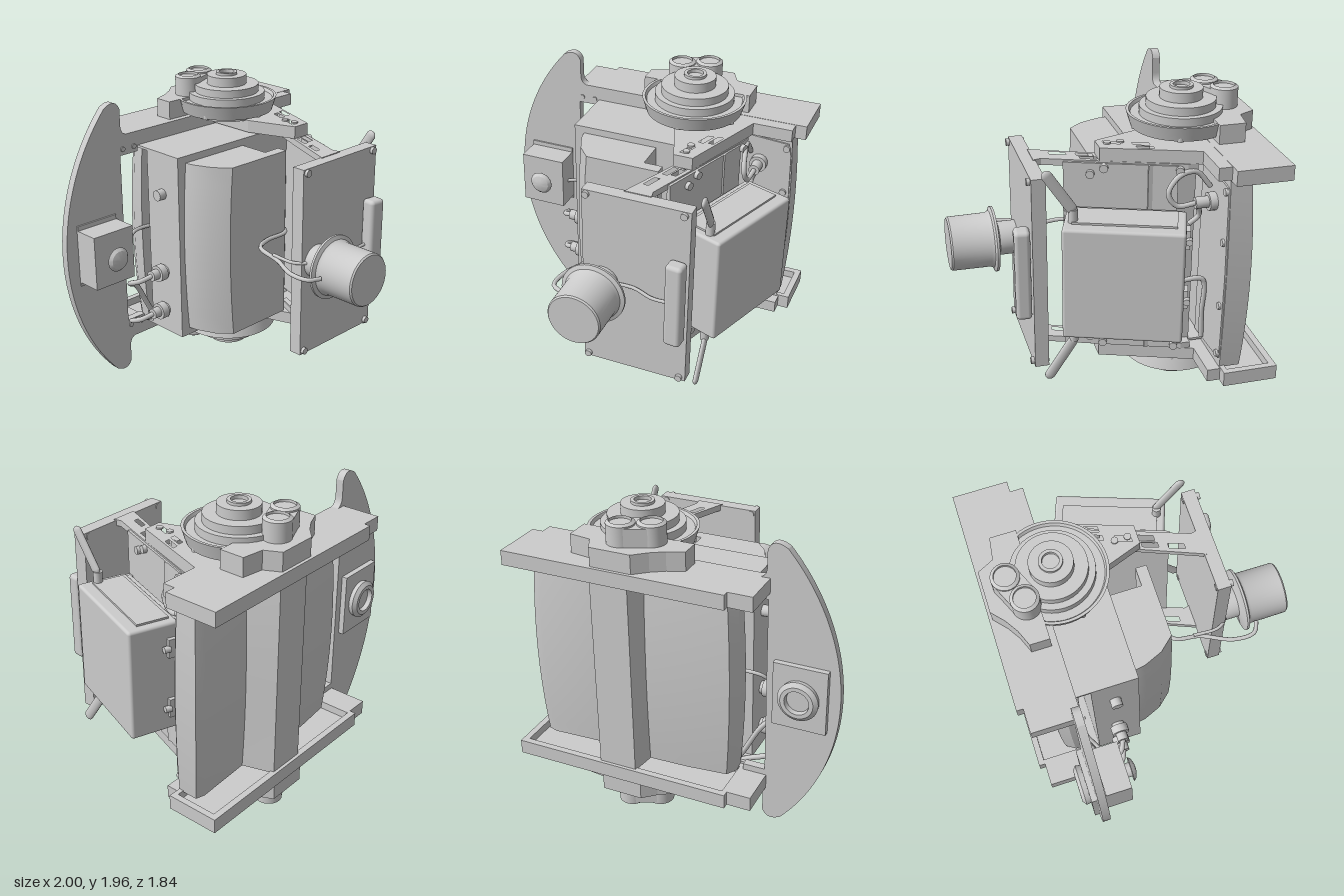
import * as THREE from 'three';
import { toCreasedNormals } from 'three/addons/utils/BufferGeometryUtils.js';
import { RoundedBoxGeometry } from 'three/addons/geometries/RoundedBoxGeometry.js';

const MID = 0.985; // height of the mirror plane

export function createModel() {
  const root = new THREE.Group();
  root.name = 'pivotingSensorHead';
  const mat = new THREE.MeshStandardMaterial({ color: 0xcccccc });

  const mesh = (name, geo, x = 0, y = 0, z = 0, parent = root) => {
    const m = new THREE.Mesh(geo, mat);
    m.name = name;
    m.position.set(x, y, z);
    parent.add(m);
    return m;
  };
  // box from its limits
  const box = (name, x0, x1, y0, y1, z0, z1, parent) =>
    mesh(name, new THREE.BoxGeometry(x1 - x0, y1 - y0, z1 - z0), (x0 + x1) / 2, (y0 + y1) / 2, (z0 + z1) / 2, parent);
  const rbox = (name, w, h, d, r, x, y, z, parent) => mesh(name, new RoundedBoxGeometry(w, h, d, 3, r), x, y, z, parent);
  // turned profile of [radius, height] points along an axis
  const turn = (name, pts, axis, x, y, z, parent, seg = 40) => {
    let g = new THREE.LatheGeometry(pts.map(p => new THREE.Vector2(...p)), seg);
    if (axis === 'z') g.rotateX(Math.PI / 2);
    if (axis === 'x') g.rotateZ(-Math.PI / 2);
    return mesh(name, toCreasedNormals(g, 0.5), x, y, z, parent);
  };
  const cyl = (name, r, h, axis, x, y, z, parent, seg = 24) =>
    turn(name, [[0, 0], [r, 0], [r, h], [0, h]], axis, x, y, z, parent, seg);
  // horizontal slab from an outline of [x, z] points
  const path = pts => pts.map(p => new THREE.Vector2(...p));
  const slabGeo = (pts, y0, y1, holes = [], steps = 1) => {
    const s = new THREE.Shape(path(pts));
    holes.forEach(h => s.holes.push(new THREE.Path(path(h))));
    const g = new THREE.ExtrudeGeometry(s, { depth: y1 - y0, bevelEnabled: false, steps });
    return g.rotateX(Math.PI / 2).translate(0, y1, 0);
  };
  const slab = (name, ...a) => mesh(name, slabGeo(...a));
  const tube = (name, r, ...pts) => mesh(name, new THREE.TubeGeometry(
    new THREE.CatmullRomCurve3(pts.map(p => new THREE.Vector3(...p))), 48, r, 8));
  // add a copy reflected in the plane y = MID
  const both = m => {
    m.updateMatrix();
    const g = m.geometry.index ? m.geometry.toNonIndexed() : m.geometry.clone();
    g.applyMatrix4(m.matrix).applyMatrix4(new THREE.Matrix4().makeScale(1, -1, 1)).translate(0, 2 * MID, 0);
    for (const a of Object.values(g.attributes)) {
      const n = a.itemSize, t = a.array;
      for (let i = 0; i < t.length; i += 3 * n)
        for (let k = 0; k < n; k++) [t[i + k], t[i + 2 * n + k]] = [t[i + 2 * n + k], t[i + k]];
    }
    mesh(m.name + 'Lower', g);
  };

  // yoke rails: a plate with a rim facing inwards
  const rail = [[-0.56, -0.58], [-0.56, -0.88], [-0.41, -0.88], [-0.41, -0.92], [1, -0.92], [1, -0.58]];
  both(slab('railPlate', rail, 1.65, 1.692));
  both(slab('railRim', rail, 1.6, 1.65, [[[-0.38, -0.61], [-0.38, -0.88], [0.96, -0.88], [0.96, -0.61]]]));

  // rear housing: bulging panels either side of a straight raised rib
  const drum = slabGeo([[-0.4, -0.58], [-0.4, -0.66], [-0.36, -0.73], [-0.1, -0.76], [0.16, -0.77], [0.19, -0.9],
    [0.43, -0.9], [0.5, -0.73], [0.88, -0.75], [0.94, -0.73], [0.94, -0.58]], 0.36, 1.61, [], 14);
  const p = drum.attributes.position;
  for (let i = 0; i < p.count; i++) {
    if (p.getZ(i) < -0.8) continue;
    const t = (p.getY(i) - MID) / 0.62;
    p.setX(i, 0.31 + (p.getX(i) - 0.31) * (1 - 0.04 * t * t));
    p.setZ(i, -0.58 + (p.getZ(i) + 0.58) * (1 - 0.15 * t * t));
  }
  drum.computeVertexNormals();
  mesh('rearHousing', toCreasedNormals(drum, 0.4));

  // thin side flange with tapered ends
  const flange = new THREE.Shape(path([[0.5, 0.39], [0.9, 0.42], [0.92, 0.5], [0.935, 0.985], [0.92, 1.47], [0.9, 1.55], [0.5, 1.58]]));
  mesh('sideFlange', new THREE.ExtrudeGeometry(flange, { depth: 0.02, bevelEnabled: false }), 0, 0, -0.59);
  for (const y of [0.45, 0.78, 1.2, 1.52]) cyl('flangeScrew', 0.022, 0.02, 'z', 0.89, y, -0.575);

  // main body, its lips over the rails, and the curved housing in front of it
  box('mainBody', -0.41, 0.6, 0.37, 1.6, -0.49, -0.2);
  both(box('bodyLip', -0.41, 0.6, 1.585, 1.6, -0.58, -0.49));
  const hood = slabGeo([[-0.37, -0.2], [-0.36, -0.14], [-0.31, -0.02], [-0.23, 0.07], [0.27, 0.07], [0.27, 0],
    [0.15, 0], [0.15, -0.2]], 0.42, 1.555, [], 10);
  const hp = hood.attributes.position;
  for (let i = 0; i < hp.count; i++) {
    const t = (hp.getY(i) - MID) / 0.57;
    if (hp.getX(i) < -0.2) hp.setX(i, hp.getX(i) + 0.025 * t * t);
  }
  hood.computeVertexNormals();
  mesh('curvedHood', toCreasedNormals(hood, 0.6));

  // pivot bearings
  const cone = new THREE.LatheGeometry(path([[0, 0], [0.3, 0], [0.328, 0.09], [0.31, 0.09], [0.3, 0.07], [0, 0.07]]), 72);
  const cp = cone.attributes.position;
  for (let i = 0; i < cp.count; i++) cp.setZ(i, Math.max(cp.getZ(i), -0.13));
  cone.computeVertexNormals();
  both(mesh('bearingDish', toCreasedNormals(cone, 0.4), 0.29, 1.72, -0.49));
  both(turn('bearingHub', [[0, 0], [0.25, 0], [0.25, 0.085], [0.21, 0.085], [0.21, 0.135], [0.13, 0.135],
    [0.13, 0.195], [0.07, 0.195], [0.07, 0.212], [0.05, 0.212], [0.05, 0.19], [0, 0.19]], 'y', 0.29, 1.755, -0.49));
  both(slab('bearingBlock', [[-0.1, -0.62], [-0.1, -0.74], [0, -0.78], [0.08, -0.83], [0.16, -0.9], [0.42, -0.9],
    [0.47, -0.8], [0.61, -0.78], [0.61, -0.62]], 1.69, 1.81));
  both(cyl('bearingSpacer', 0.22, 0.04, 'y', 0.29, 1.685, -0.49));
  for (const [x, z] of [[0.13, -0.69], [0.29, -0.76]])
    both(turn('clampKnob', [[0, 0], [0.085, 0], [0.085, 0.13], [0.065, 0.142], [0.065, 0.125], [0, 0.125]], 'y', x, 1.8, z));
  const link = mesh('knobLink', new THREE.BoxGeometry(0.175, 0.12, 0.165), 0.21, 1.86, -0.725);
  link.rotation.y = 0.412;
  both(link);
  for (const [x, z] of [[0.02, -0.4], [0.56, -0.4], [0.29, -0.21]]) both(cyl('dishScrew', 0.022, 0.03, 'y', x, 1.715, z));

  // crescent plate
  const c = new THREE.Shape();
  c.absarc(0.36, MID, 1.36, Math.PI - 0.723, Math.PI + 0.723);
  c.quadraticCurveTo(-0.57, 0.03, -0.54, 0.11);
  c.lineTo(-0.54, 0.21);
  c.quadraticCurveTo(-0.54, 0.28, -0.48, 0.28);
  for (const q of [[-0.41, 0.28], [-0.41, 0.41], [-0.55, 0.41], [-0.55, 1.56], [-0.41, 1.56], [-0.41, 1.69], [-0.48, 1.69]]) c.lineTo(...q);
  c.quadraticCurveTo(-0.54, 1.69, -0.54, 1.76);
  c.lineTo(-0.54, 1.86);
  c.quadraticCurveTo(-0.57, 1.94, -0.66, 1.885);
  mesh('crescentPlate', new THREE.ExtrudeGeometry(c, { depth: 0.05, bevelEnabled: false, curveSegments: 40 }), 0, 0, -0.63);
  for (const x of [-0.53, -0.44]) both(cyl('plateRivet', 0.016, 0.01, 'z', x, 1.6, -0.582));

  // sensor on the crescent plate
  box('sensorBox', -0.915, -0.615, 0.81, 1.16, -0.58, -0.41);
  box('sensorBackPlate', -0.93, -0.6, 0.78, 1.19, -0.665, -0.63);
  box('sensorFrontPlate', -0.915, -0.615, 0.785, 1.19, -0.6, -0.57);
  turn('sensorButton', [[0, 0], [0.045, 0], [0.045, 0.04], [0.078, 0.04], [0.06, 0.06], [0.03, 0.07], [0, 0.073]], 'z', -0.765, 0.985, -0.415);
  const ring = turn('sensorRing', [[0, 0], [0.12, 0], [0.125, 0.03], [0.1, 0.05], [0.075, 0.05], [0.07, 0.02], [0, 0.02]], 'z', -0.765, 0.985, -0.665);
  ring.rotation.y = Math.PI;

  // slotted arms carrying the front panel, thickened towards the rails
  const slot = (x, z, l = 0.1) => {
    const w = 0.017, a = l * 0.342, b = -l * 0.94;
    return [[x - w, z], [x + w, z], [x + w + a, z + b], [x - w + a, z + b]];
  };
  const rearSlots = [slot(0.4, 0.02), slot(0.46, -0.14), slot(0.52, -0.15)];
  const slots = [slot(0.29, 0.32), slot(0.35, 0.17), slot(0.4, 0.16), ...rearSlots];
  both(slab('slottedArm', [[0.2, 0.43], [0.37, 0.43], [0.36, 0.38], [0.66, -0.42], [0.66, -0.48], [0.4, -0.48], [0.42, -0.1]], 1.57, 1.61, slots));
  both(slab('armRib', [[0.36, 0.06], [0.48, 0.06], [0.68, -0.5], [0.93, -0.5], [0.93, -0.59], [0.25, -0.59], [0.25, -0.25]], 1.61, 1.69, rearSlots));
  for (const z of [0, -0.08]) both(cyl('armScrew', 0.022, 0.01, 'y', 0.42, 1.69, z));
  box('frontPanel', -0.04, 0.64, 0.365, 1.605, 0.415, 0.5);
  for (const x of [-0.01, 0.6]) both(cyl('panelScrew', 0.022, 0.11, 'z', x, 1.58, 0.41));
  rbox('panelPad', 0.11, 0.58, 0.095, 0.025, 0.575, 0.985, 0.55).rotation.y = -0.1;

  // front lens
  turn('lens', [[0, 0], [0.105, 0], [0.105, 0.11], [0.14, 0.12], [0.205, 0.13], [0.205, 0.145], [0.18, 0.155],
    [0.17, 0.175], [0.168, 0.41], [0.16, 0.42], [0, 0.42]], 'z', 0.09, 0.985, 0.5, root, 56);

  // slanted control box and the web plate it is mounted on
  const unit = new THREE.Group();
  unit.name = 'controlUnit';
  unit.position.set(0.72, MID, -0.03);
  unit.rotation.y = -0.349;
  root.add(unit);
  box('webPlate', -0.205, -0.18, -0.615, 0.615, -0.29, 0.38, unit);
  rbox('controlBox', 0.315, 0.71, 0.7, 0.018, 0.02, 0, 0, unit);
  box('controlBoxBase', -0.165, -0.12, -0.34, 0.34, -0.335, 0.335, unit);
  for (const s of [-1, 1]) {
    box('controlBoxTrim', -0.1, 0.1, s * 0.357 - 0.01, s * 0.357 + 0.01, -0.3, 0.3, unit);
    box('latch', -0.14, -0.06, s * 0.2 - 0.06, s * 0.2 + 0.06, -0.375, -0.34, unit);
    cyl('latchPin', 0.02, 0.04, 'x', -0.07, s * 0.2, -0.37, unit);
    box('mountFoot', -0.2, -0.12, s * 0.28 - 0.05, s * 0.28 + 0.05, 0.33, 0.37, unit);
    for (const [y, z] of [[0.59, -0.3], [0.59, 0.14], [0.55, 0.22]]) cyl('webScrew', 0.025, 0.03, 'x', -0.185, s * y, z, unit);
  }

  // antennas above and below the control box
  both(cyl('antennaBase', 0.028, 0.1, 'y', 0.68, 1.32, 0.27));
  const antenna = mesh('antenna', new THREE.CapsuleGeometry(0.033, 0.25, 6, 14).scale(0.5, 1, 1), 0.685, 1.535, 0.35);
  antenna.rotation.x = 0.58;
  both(antenna);

  // cable connectors
  for (const [y, x] of [[0.53, -0.53], [0.8, -0.53], [1.33, -0.46]])
    turn('sidePlug', [[0, 0], [0.035, 0], [0.035, 0.05], [0.055, 0.05], [0.055, 0.1], [0.04, 0.1], [0.04, 0.13], [0, 0.13]],
      'x', x, y, -0.35, root, 16);
  turn('flangePlug', [[0, 0], [0.055, 0], [0.055, 0.05], [0.035, 0.05], [0.035, 0.13], [0, 0.13]], 'z', 0.72, 1.39, -0.575, root, 16);

  // cables
  tube('lensCable', 0.014, [-0.09, 0.985, 0.7], [-0.16, 0.985, 0.66], [-0.16, 0.98, 0.52], [-0.07, 0.98, 0.32], [-0.04, 1, 0.15],
    [0.08, 1, 0.09], [0.26, 1, 0.08], [0.31, 1, 0], [0.28, 0.99, -0.1], [0.2, 0.98, -0.11], [0.17, 0.98, 0.01]);
  tube('padCable', 0.011, [-0.06, 1, 0.28], [-0.06, 1, 0.45], [0, 1, 0.515], [0.3, 1, 0.515], [0.42, 0.97, 0.53], [0.55, 0.97, 0.53]);
  tube('sensorCable', 0.012, [-0.62, 0.97, -0.5], [-0.55, 0.98, -0.53], [-0.48, 1.03, -0.57], [-0.3, 1.03, -0.57], [-0.1, 1, -0.53]);
  for (const [y, x] of [[0.53, -0.4], [0.8, -0.5]])
    tube('loopCable', 0.017, [-0.52, y, -0.35], [-0.59, y - 0.03, -0.39], [-0.6, y - 0.07, -0.48], [x, y - 0.14, -0.54],
      [-0.3, 0.35, -0.55], [-0.18, 0.38, -0.54]);
  tube('flangeCable', 0.016, [0.72, 1.39, -0.45], [0.71, 1.38, -0.34], [0.7, 1.46, -0.29], [0.68, 1.55, -0.36], [0.66, 1.56, -0.47], [0.66, 1.46, -0.56]);
  tube('boxCable', 0.016, [0.7, 1.25, -0.42], [0.7, 1.3, -0.48], [0.73, 1.39, -0.46]);
  tube('lowerCable', 0.016, [0.66, 0.85, -0.4], [0.66, 0.84, -0.54], [0.65, 0.6, -0.55], [0.64, 0.42, -0.56]);

  return root;
}
